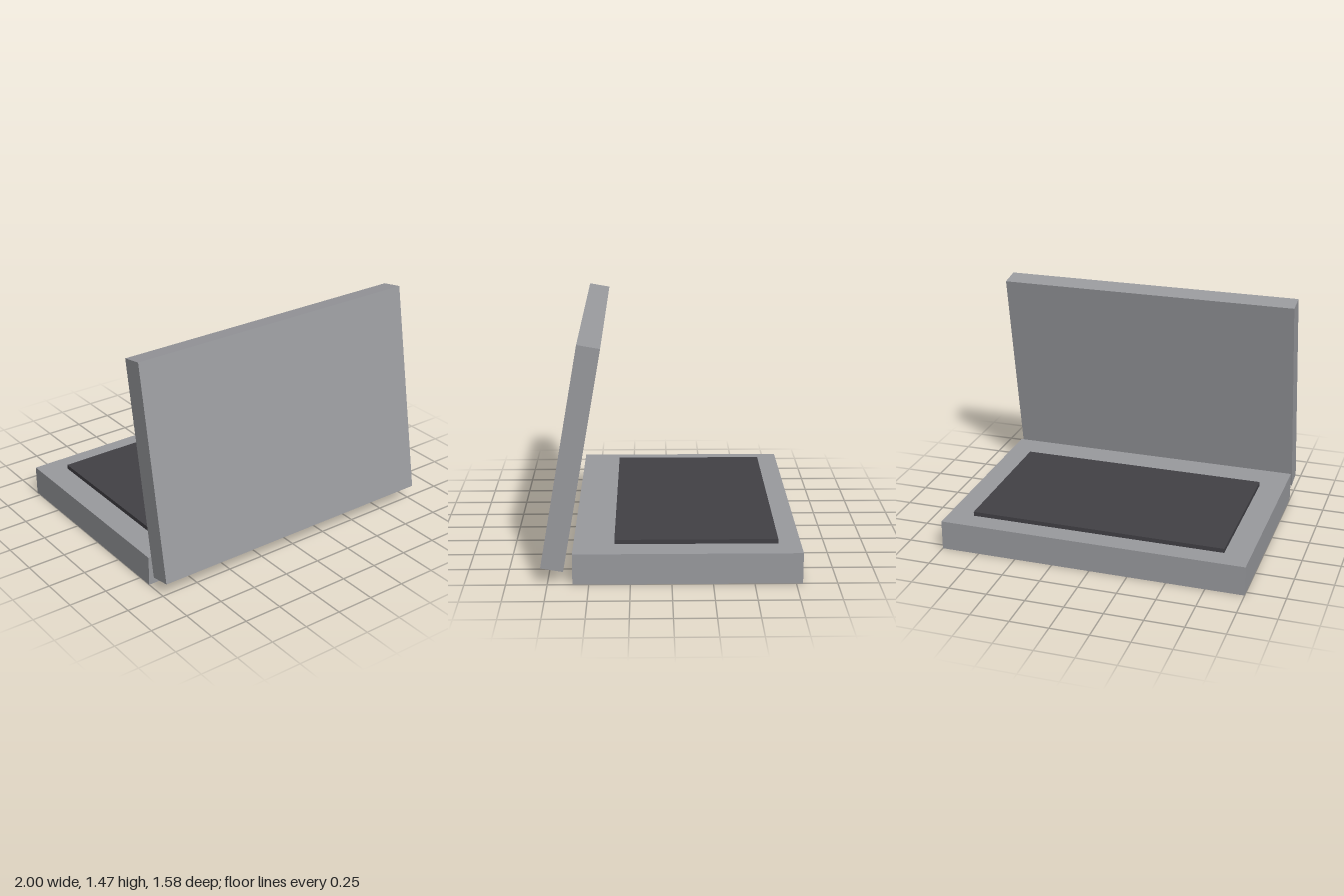
import * as THREE from 'three';

export function createModel() {
  const model = new THREE.Group();
  model.name = 'laptop';

  const casing = new THREE.MeshStandardMaterial({ name: 'casing grey', color: 0x9a9b9f });
  const dark = new THREE.MeshStandardMaterial({ name: 'keyboard charcoal', color: 0x424146 });

  const addBox = (name, size, position, material) => {
    const mesh = new THREE.Mesh(new THREE.BoxGeometry(...size), material);
    mesh.name = name;
    mesh.position.set(...position);
    model.add(mesh);
    return mesh;
  };

  // Flat body standing on the ground
  addBox('base', [2, 0.194, 1.389], [0, 0.097, -0.096], casing);

  // Raised slab on top of the body
  addBox('keyboard', [1.667, 0.028, 1], [0, 0.208, -0.152], dark);

  // Upright panel, its top leaning back over the body
  const lid = addBox('lid', [2, 1.389, 0.139], [0, 0.778, 0.601], casing);
  lid.rotation.x = THREE.MathUtils.degToRad(-10);

  return model;
}
